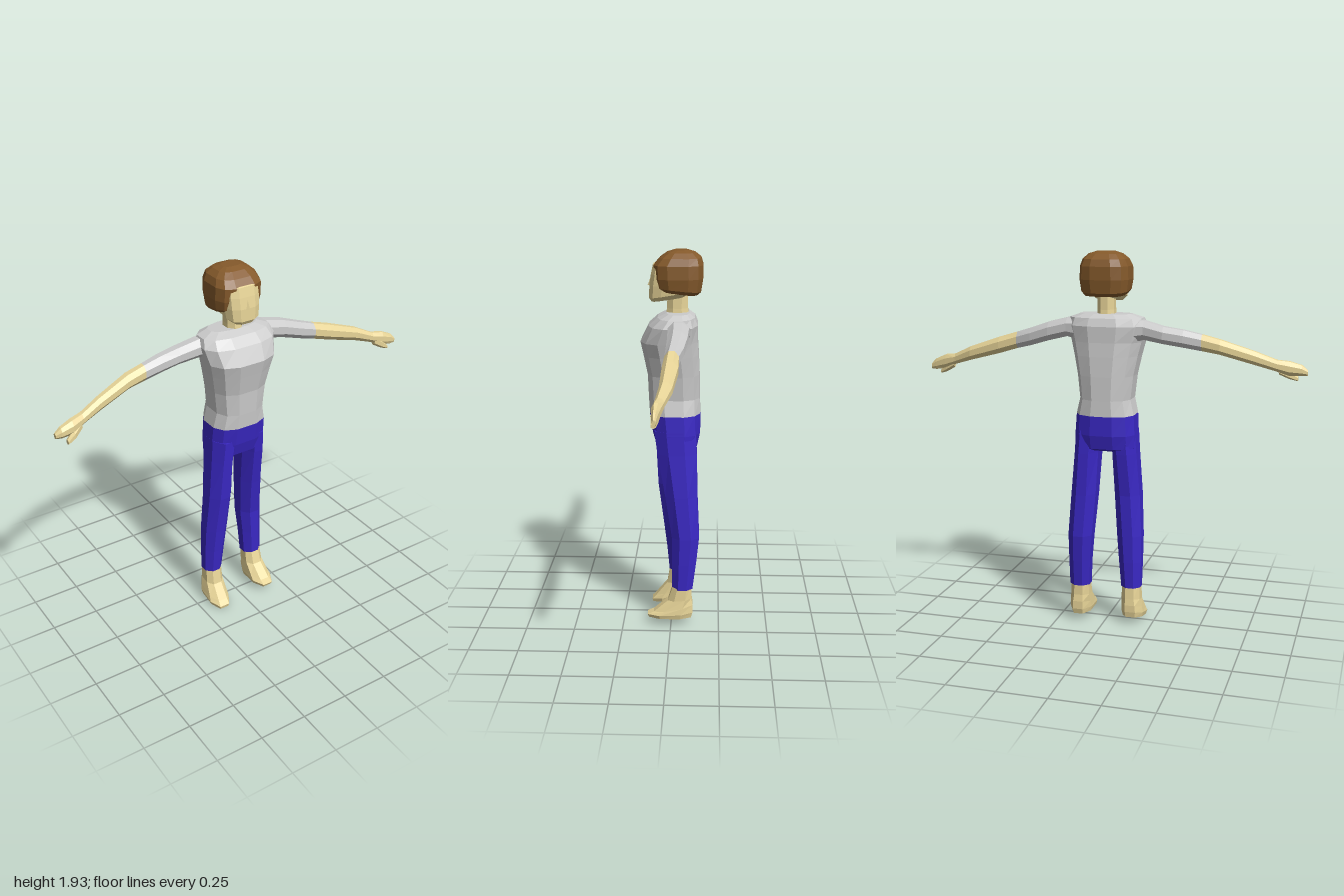
import * as THREE from 'three';

const material = (color) => new THREE.MeshStandardMaterial({ color, flatShading: true });

// Faceted skin over rings [t, a0, a1, b0, b1, tilt].
// axis 'y': t = y, a = x range, b = z range; axis 'x': t = x, a = z range, b = y range.
function loft(axis, rings, sides = 8, square = 1) {
  const sorted = [...rings].sort((p, q) => p[0] - q[0]);
  const pos = [], index = [];
  const put = (a, t, b) => (axis === 'y' ? pos.push(a, t, b) : pos.push(t, b, a));
  const bulge = (v) => Math.sign(v) * Math.pow(Math.abs(v), square);
  const reach = bulge(Math.cos(Math.PI / sides));
  for (const [t, a0, a1, b0, b1, tilt = 0] of sorted) {
    for (let j = 0; j < sides; j++) {
      const ang = ((j + 0.5) / sides) * Math.PI * 2;
      const a = (bulge(Math.cos(ang)) / reach) * (a1 - a0) / 2;
      const b = (bulge(Math.sin(ang)) / reach) * (b1 - b0) / 2;
      put((a0 + a1) / 2 + a, t + tilt * b, (b0 + b1) / 2 + b);
    }
  }
  const n = sorted.length, low = n * sides, high = low + 1;
  for (const [t, a0, a1, b0, b1] of [sorted[0], sorted[n - 1]]) put((a0 + a1) / 2, t, (b0 + b1) / 2);
  for (let j = 0; j < sides; j++) {
    const k = (j + 1) % sides;
    for (let i = 0; i < n - 1; i++) {
      const p = i * sides, q = p + sides;
      index.push(p + j, q + j, p + k, p + k, q + j, q + k);
    }
    index.push(low, j, k, high, (n - 1) * sides + k, (n - 1) * sides + j);
  }
  const g = new THREE.BufferGeometry();
  g.setAttribute('position', new THREE.Float32BufferAttribute(pos, 3));
  g.setIndex(index);
  g.computeVertexNormals();
  return g;
}

export function createModel() {
  const root = new THREE.Group();
  const skin = material(0xe8d598), hair = material(0x855a2b);
  const cloth = material(0xcccccc), denim = material(0x3a28c4);
  const add = (name, geometry, mat) => {
    const m = new THREE.Mesh(geometry, mat);
    m.name = name;
    root.add(m);
    return m;
  };

  // Shirt body
  add('shirt', loft('y', [
    [1.12, -0.15, 0.15, -0.145, 0.11],
    [1.2, -0.132, 0.132, -0.142, 0.115],
    [1.32, -0.145, 0.145, -0.14, 0.12],
    [1.42, -0.165, 0.165, -0.135, 0.14],
    [1.49, -0.182, 0.182, -0.13, 0.155],
    [1.57, -0.2, 0.2, -0.13, 0.115],
    [1.61, -0.185, 0.185, -0.115, 0.07],
    [1.63, -0.13, 0.13, -0.09, 0.025],
  ], 12, 0.75), cloth);

  // Hips
  add('trouserHips', loft('y', [
    [1.12, -0.15, 0.15, -0.145, 0.11],
    [1.02, -0.156, 0.156, -0.145, 0.095],
    [0.95, -0.155, 0.155, -0.13, 0.075],
    [0.935, -0.11, 0.11, -0.1, 0.04],
  ], 12, 0.75), denim);

  // Trouser legs, the right one a little further forward
  add('leftTrouserLeg', loft('y', [
    [1.04, 0.02, 0.155, -0.125, 0.085],
    [0.92, 0.035, 0.16, -0.13, 0.07],
    [0.7, 0.045, 0.175, -0.135, 0.03],
    [0.48, 0.062, 0.188, -0.145, -0.005],
    [0.34, 0.075, 0.188, -0.13, -0.005],
    [0.2, 0.082, 0.187, -0.112, -0.007],
  ]), denim);
  add('rightTrouserLeg', loft('y', [
    [1.04, -0.155, -0.02, -0.12, 0.09],
    [0.92, -0.162, -0.035, -0.11, 0.085],
    [0.7, -0.178, -0.045, -0.085, 0.075],
    [0.48, -0.19, -0.06, -0.085, 0.047],
    [0.34, -0.19, -0.072, -0.085, 0.03],
    [0.2, -0.187, -0.085, -0.082, 0.017],
  ]), denim);

  // Bare feet
  add('leftFoot', loft('y', [
    [0.22, 0.088, 0.182, -0.107, -0.012],
    [0.14, 0.085, 0.185, -0.107, 0.015, -0.1],
    [0.09, 0.082, 0.192, -0.113, 0.09, -0.2],
    [0.062, 0.08, 0.196, -0.113, 0.122, -0.05],
    [0.04, 0.085, 0.19, -0.105, 0.115],
  ], 8, 0.85), skin);
  add('rightFoot', loft('y', [
    [0.22, -0.182, -0.09, -0.077, 0.013],
    [0.13, -0.186, -0.087, -0.085, 0.03, -0.2],
    [0.075, -0.195, -0.085, -0.09, 0.09, -0.35],
    [0.045, -0.2, -0.083, -0.09, 0.112, -0.25],
    [0.022, -0.194, -0.088, -0.085, 0.108, -0.2],
  ], 8, 0.85), skin);

  // Sleeves, forearms with hands, and thumbs
  add('leftSleeve', loft('x', [
    [0.12, -0.1, 0.02, 1.49, 1.615],
    [0.2, -0.09, 0.015, 1.51, 1.605],
    [0.3, -0.085, 0.012, 1.485, 1.58],
    [0.4, -0.07, 0.015, 1.455, 1.545],
    [0.48, -0.05, 0.018, 1.435, 1.52],
  ]), cloth);
  add('rightSleeve', loft('x', [
    [-0.12, -0.1, 0.02, 1.485, 1.61],
    [-0.2, -0.092, 0.005, 1.505, 1.6],
    [-0.3, -0.105, -0.012, 1.49, 1.575],
    [-0.4, -0.095, -0.012, 1.475, 1.56],
    [-0.49, -0.08, -0.012, 1.46, 1.54],
  ]), cloth);
  add('leftForearmAndHand', loft('x', [
    [0.48, -0.05, 0.018, 1.435, 1.52],
    [0.58, -0.05, 0.025, 1.405, 1.49],
    [0.75, -0.03, 0.03, 1.36, 1.432],
    [0.85, 0, 0.045, 1.33, 1.385],
    [0.91, 0.012, 0.055, 1.305, 1.378],
    [0.97, 0.025, 0.05, 1.295, 1.352],
    [0.998, 0.032, 0.045, 1.297, 1.325],
  ]), skin);
  add('rightForearmAndHand', loft('x', [
    [-0.49, -0.08, -0.012, 1.46, 1.54],
    [-0.58, -0.078, -0.005, 1.445, 1.517],
    [-0.75, -0.035, 0.022, 1.395, 1.46],
    [-0.85, -0.01, 0.045, 1.365, 1.42],
    [-0.91, 0.005, 0.065, 1.343, 1.413],
    [-0.97, 0.022, 0.068, 1.343, 1.395],
    [-0.998, 0.032, 0.055, 1.345, 1.372],
  ]), skin);
  add('leftThumb', loft('x', [
    [0.86, 0.012, 0.045, 1.315, 1.36],
    [0.91, 0.022, 0.058, 1.288, 1.33],
    [0.945, 0.032, 0.055, 1.275, 1.295],
  ], 6), skin);
  add('rightThumb', loft('x', [
    [-0.86, 0.015, 0.045, 1.35, 1.39],
    [-0.91, 0.035, 0.075, 1.325, 1.365],
    [-0.95, 0.055, 0.082, 1.313, 1.333],
  ], 6), skin);

  // Neck
  add('neck', loft('y', [
    [1.6, -0.045, 0.045, -0.085, 0.03],
    [1.65, -0.042, 0.042, -0.08, 0.025],
    [1.76, -0.042, 0.042, -0.08, 0.02],
  ]), skin);

  // Head with the jaw rising towards the back
  add('head', loft('y', [
    [1.695, -0.06, 0.06, -0.06, 0.1, -0.15],
    [1.72, -0.085, 0.085, -0.105, 0.112, -0.17],
    [1.77, -0.092, 0.092, -0.13, 0.111, -0.05],
    [1.82, -0.094, 0.094, -0.135, 0.103],
    [1.868, -0.09, 0.09, -0.13, 0.093],
    [1.88, -0.07, 0.07, -0.1, 0.06],
  ], 12, 0.6), skin);
  const nose = add('nose', new THREE.ConeGeometry(0.014, 0.06, 4), skin);
  nose.position.set(0, 1.79, 0.104);
  nose.rotation.x = -0.12;

  // Hair cap framing the face
  add('hair', loft('y', [
    [1.728, -0.105, 0.105, -0.125, 0.05, 0.12],
    [1.745, -0.117, 0.117, -0.145, 0.075, 0.1],
    [1.8, -0.125, 0.125, -0.155, 0.086],
    [1.865, -0.122, 0.122, -0.155, 0.09],
    [1.9, -0.108, 0.108, -0.145, 0.06],
    [1.925, -0.08, 0.08, -0.115, 0.025],
    [1.937, -0.045, 0.045, -0.08, -0.01],
  ], 12, 0.65), hair);

  return root;
}
